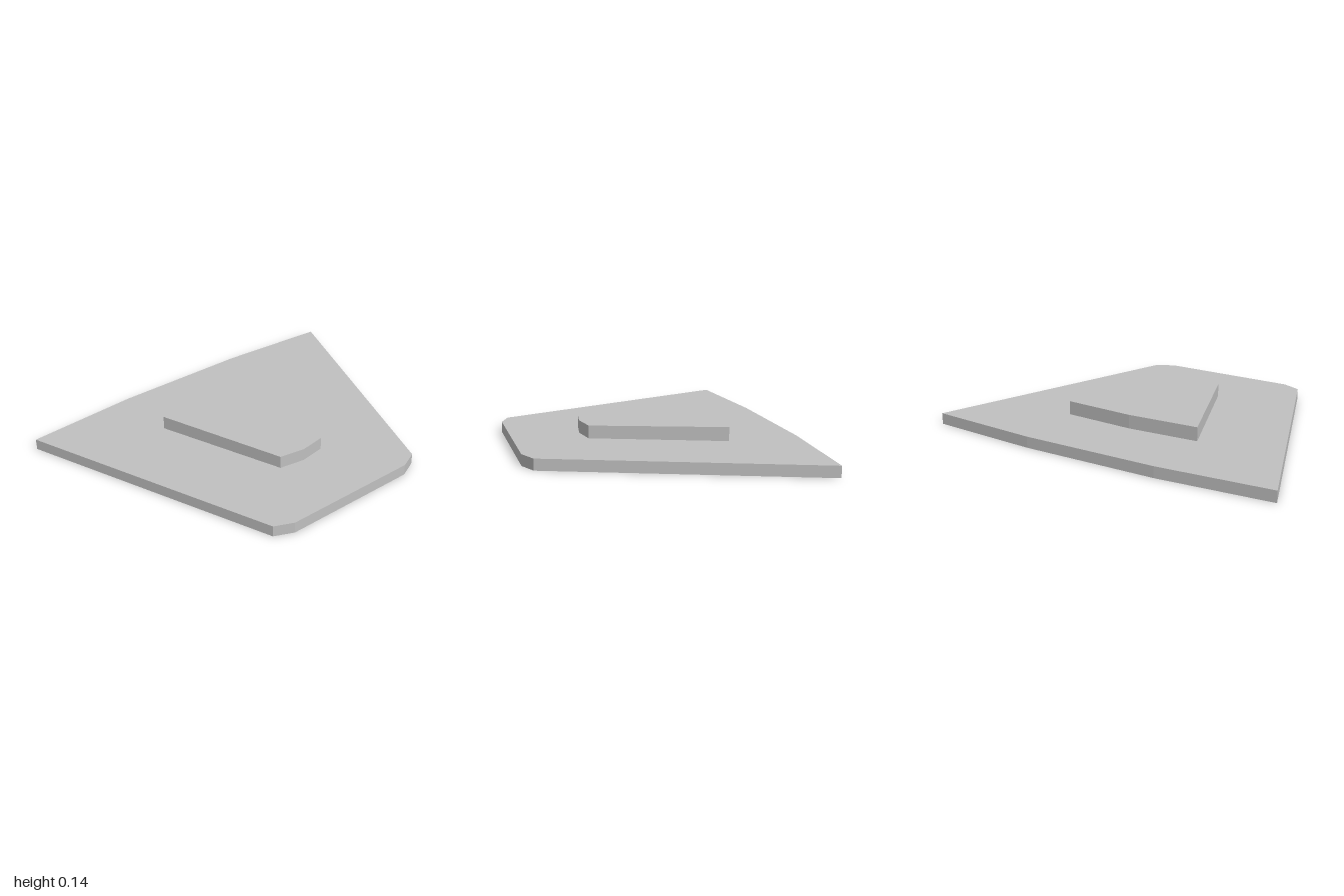
import * as THREE from 'three';

// Flat slab from one half of a mirrored outline of [x, z] points (z >= 0)
function slab(name, half, bottom, height, material) {
  const mirrored = half.filter(([, z]) => z > 0).reverse().map(([x, z]) => [x, -z]);
  const shape = new THREE.Shape([...half, ...mirrored].map(([x, z]) => new THREE.Vector2(x, z)));
  const geometry = new THREE.ExtrudeGeometry(shape, { depth: height, bevelEnabled: false });
  geometry.rotateX(-Math.PI / 2).translate(0, bottom, 0);
  const mesh = new THREE.Mesh(geometry, material);
  mesh.name = name;
  return mesh;
}

export function createModel() {
  const group = new THREE.Group();
  group.name = 'steppedPlatform';
  const grey = new THREE.MeshStandardMaterial({ color: 0xc0c0c0, flatShading: true });
  grey.name = 'light grey';

  // Wide lower plate with clipped narrow end
  const base = slab('basePlate',
    [[0.737, 0.38], [0.692, 0.482], [-0.697, 1], [-0.741, 0.38]], 0, 0.061, grey);

  // Smaller raised plate, its top sloping gently down toward +x
  const step = slab('raisedPlate',
    [[0.367, 0], [0.345, 0.141], [-0.35, 0.395], [-0.371, 0]], 0.06, 0.073, grey);
  const p = step.geometry.attributes.position;
  for (let i = 0; i < p.count; i++) {
    if (p.getY(i) > 0.1) p.setY(i, 0.133 - 0.008 * p.getX(i));
  }
  step.geometry.computeVertexNormals();

  group.add(base, step);
  return group;
}
